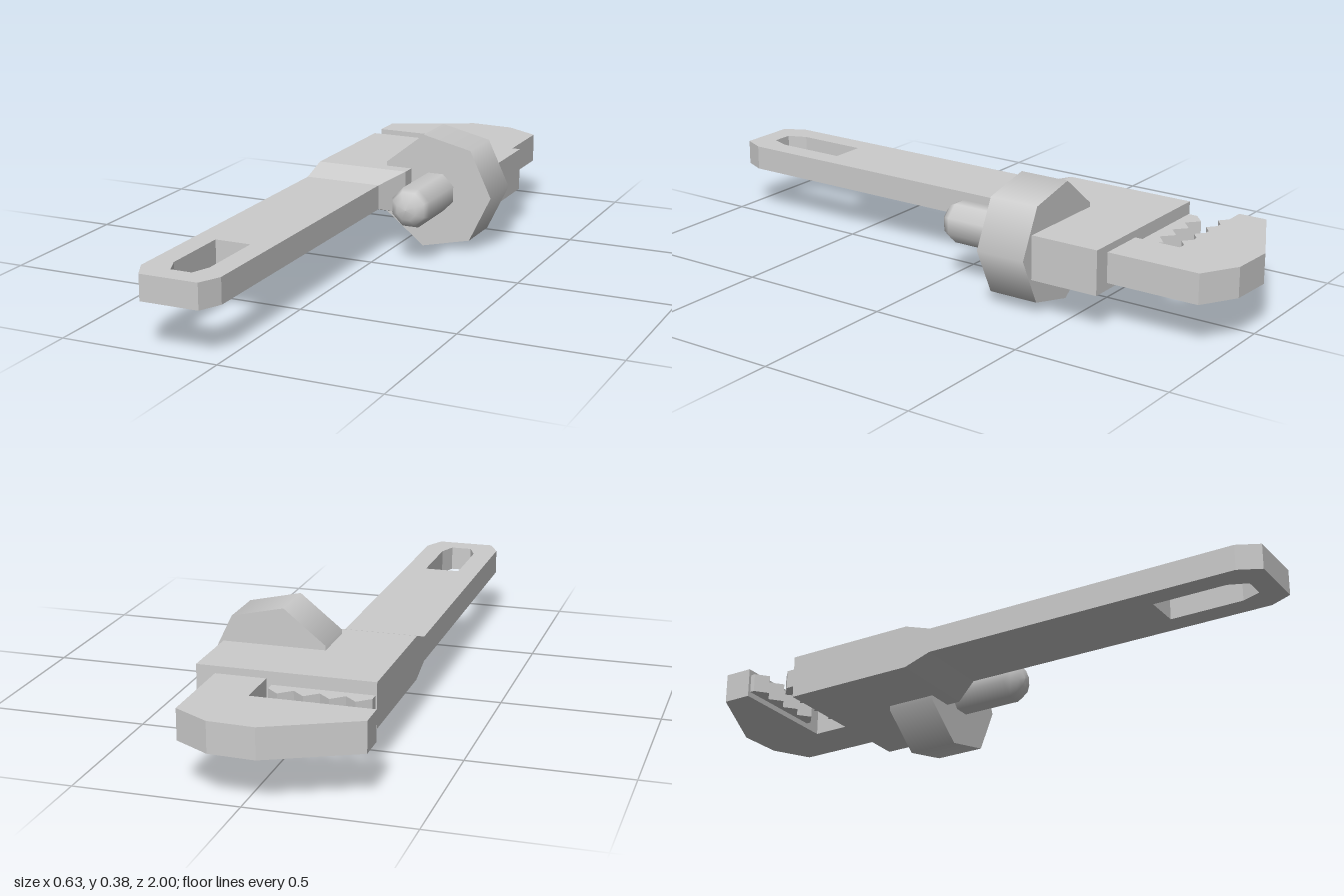
import * as THREE from 'three';

const material = new THREE.MeshStandardMaterial({ color: 0xcccccc });
const MID = 0.19; // height of the tool's middle plane

function addMesh(group, name, geometry) {
  const mesh = new THREE.Mesh(geometry, material);
  mesh.name = name;
  group.add(mesh);
  return mesh;
}

// Flat plate: outline given as [x, z] pairs, centred on the middle plane
function plate(points, thickness, hole) {
  const toVec = ([x, z]) => new THREE.Vector2(x, -z);
  const shape = new THREE.Shape(points.map(toVec));
  if (hole) shape.holes.push(new THREE.Path(hole.map(toVec)));
  const geo = new THREE.ExtrudeGeometry(shape, { depth: thickness, bevelEnabled: false });
  return geo.rotateX(-Math.PI / 2).translate(0, MID - thickness / 2, 0);
}

// Zigzag strip of teeth from x0 to x1, standing on the line z = base
function teeth(x0, x1, base, valley, peak) {
  const points = [[x0, base]];
  for (let i = 0; i <= 8; i++) {
    points.push([x0 + (x1 - x0) * i / 8, i % 2 ? peak : valley]);
  }
  points.push([x1, base]);
  return plate(points, 0.06);
}

export function createModel() {
  const wrench = new THREE.Group();
  wrench.name = 'pipeWrench';

  // Handle with hanging slot
  addMesh(wrench, 'handle', plate(
    [[-0.275, -0.1], [-0.275, 0.93], [-0.24, 1], [-0.053, 1], [-0.02, 0.93], [-0.02, -0.1]],
    0.08,
    [[-0.205, 0.635], [-0.205, 0.87], [-0.18, 0.93], [-0.112, 0.93], [-0.09, 0.87], [-0.09, 0.635]]
  ));

  // Neck flaring from handle section to head section
  const neck = new THREE.BoxGeometry(1, 1, 1).toNonIndexed();
  const p = neck.attributes.position;
  for (let i = 0; i < p.count; i++) {
    const back = p.getZ(i) < 0;
    const x = p.getX(i) < 0 ? -0.275 : back ? 0.036 : -0.02;
    p.setXYZ(i, x, MID + p.getY(i) * (back ? 0.14 : 0.08), back ? -0.19 : -0.1);
  }
  neck.computeVertexNormals();
  addMesh(wrench, 'neck', neck);

  // Head with a side housing that guides the moving jaw
  addMesh(wrench, 'head', plate(
    [[-0.275, -0.19], [0.036, -0.19], [0.036, -0.4], [0.27, -0.4], [0.27, -0.625], [-0.275, -0.625]],
    0.14
  ));
  addMesh(wrench, 'lowerTeeth', teeth(-0.27, 0.04, -0.62, -0.655, -0.69));

  // Hook-shaped moving jaw
  addMesh(wrench, 'hookJaw', plate(
    [[-0.317, -0.775], [-0.317, -0.867], [-0.045, -1], [0.098, -0.993], [0.212, -0.925],
      [0.212, -0.6], [0.055, -0.6], [0.055, -0.775]],
    0.095
  ));
  addMesh(wrench, 'upperTeeth', teeth(-0.307, -0.003, -0.78, -0.76, -0.728));

  // Seven-sided adjusting nut
  const nut = addMesh(wrench, 'adjustingNut',
    new THREE.CylinderGeometry(0.193, 0.193, 0.165, 7, 1, false, Math.PI / 2).rotateX(Math.PI / 2));
  nut.position.set(0.122, MID, -0.318);

  // Threaded rod with rounded tip
  const profile = [[0.068, -0.4], [0.068, -0.035], [0.058, -0.015], [0.034, 0.004], [0, 0.008]]
    .map(([r, z]) => new THREE.Vector2(r, z));
  const rod = addMesh(wrench, 'rod',
    new THREE.LatheGeometry(profile, 8, Math.PI / 8).rotateX(Math.PI / 2));
  rod.position.set(0.122, MID, 0);

  return wrench;
}
